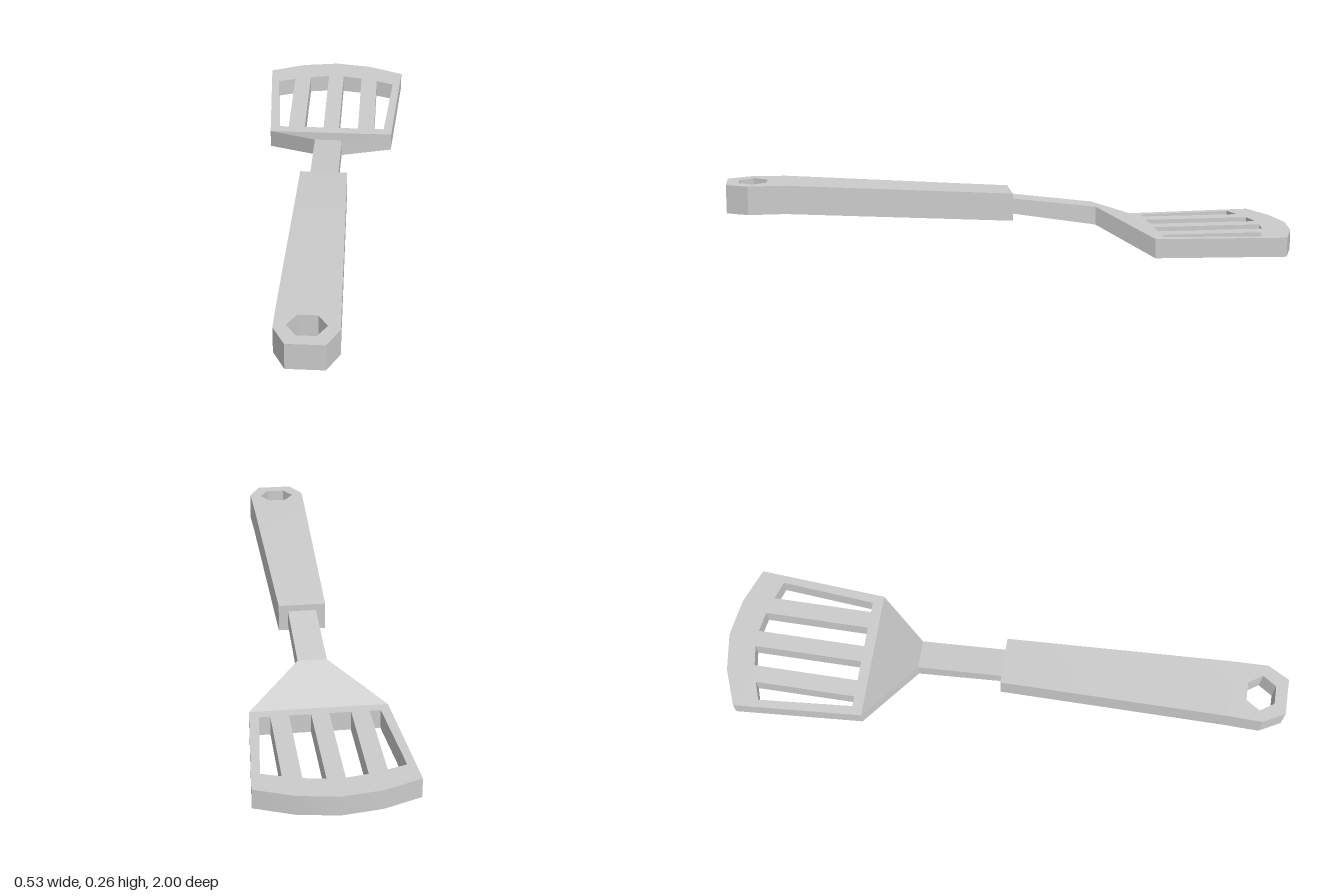
import * as THREE from 'three';
import { mergeGeometries, toCreasedNormals } from 'three/addons/utils/BufferGeometryUtils.js';

const material = new THREE.MeshStandardMaterial({ color: 0xcccccc });

// Shallow bends shade smoothly, all other edges stay sharp.
function addMesh(parent, name, geometry) {
  const mesh = new THREE.Mesh(toCreasedNormals(geometry, 0.3), material);
  mesh.name = name;
  parent.add(mesh);
}

// Box whose rings follow sections [z, halfWidth, bottom, top], ordered from back to front.
function loftBox(sections) {
  const n = sections.length - 1;
  const geometry = new THREE.BoxGeometry(1, 1, 1, 1, 1, n);
  const p = geometry.attributes.position;
  for (let i = 0; i < p.count; i++) {
    const [z, w, y0, y1] = sections[Math.round((p.getZ(i) + 0.5) * n)];
    p.setXYZ(i, Math.sign(p.getX(i)) * w, p.getY(i) > 0 ? y1 : y0, z);
  }
  return geometry.toNonIndexed();
}

// Flat plate from an [x, z] outline with holes, between two heights.
// The outline and its holes must run in opposite directions.
function plate(outline, holes, y0, y1) {
  const points = (list) => list.map(([x, z]) => new THREE.Vector2(x, z));
  const shape = new THREE.Shape(points(outline));
  for (const hole of holes) shape.holes.push(new THREE.Path(points(hole)));
  const geometry = new THREE.ExtrudeGeometry(shape, { depth: y1 - y0, bevelEnabled: false });
  return geometry.rotateX(Math.PI / 2).translate(0, y1, 0);
}

const mirror = (list) => list.map(([x, z]) => [-x, z]).reverse();

export function createModel() {
  const group = new THREE.Group();
  group.name = 'slottedTurner';

  // Blade with a bowed tip and four slots
  const side = [[0.232, -0.47], [0.264, -0.93], [0.135, -0.98]];
  const innerSlot = [[0.03, -0.897], [0.103, -0.885], [0.103, -0.507], [0.03, -0.507]];
  const outerSlot = [[0.165, -0.867], [0.23, -0.845], [0.202, -0.507], [0.165, -0.507]];
  const slots = [innerSlot, outerSlot, mirror(innerSlot), mirror(outerSlot)];
  addMesh(group, 'blade', plate([...side, [0, -1], ...mirror(side)], slots, 0, 0.068));

  // Neck that flares down into the blade
  addMesh(group, 'neck', loftBox([
    [-0.47, 0.232, 0, 0.068],
    [-0.29, 0.05, 0.087, 0.152],
    [0.02, 0.05, 0.136, 0.19],
  ]));

  // Tapered grip
  const grip = loftBox([
    [0.01, 0.083, 0.115, 0.212],
    [0.8, 0.101, 0.162, 0.261],
  ]);

  // Chamfered grip end with a six-sided hanging hole
  const end = [[0.063, 1], [0.104, 0.925], [0.101, 0.8]];
  const hole = [];
  for (let i = 0; i < 6; i++) {
    const a = (i * Math.PI) / 3;
    hole.push([0.064 * Math.cos(a), 0.91 + 0.056 * Math.sin(a)]);
  }
  const gripEnd = plate([...end, ...mirror(end)], [hole], 0.162, 0.261);
  addMesh(group, 'handle', mergeGeometries([grip, gripEnd]));

  return group;
}
